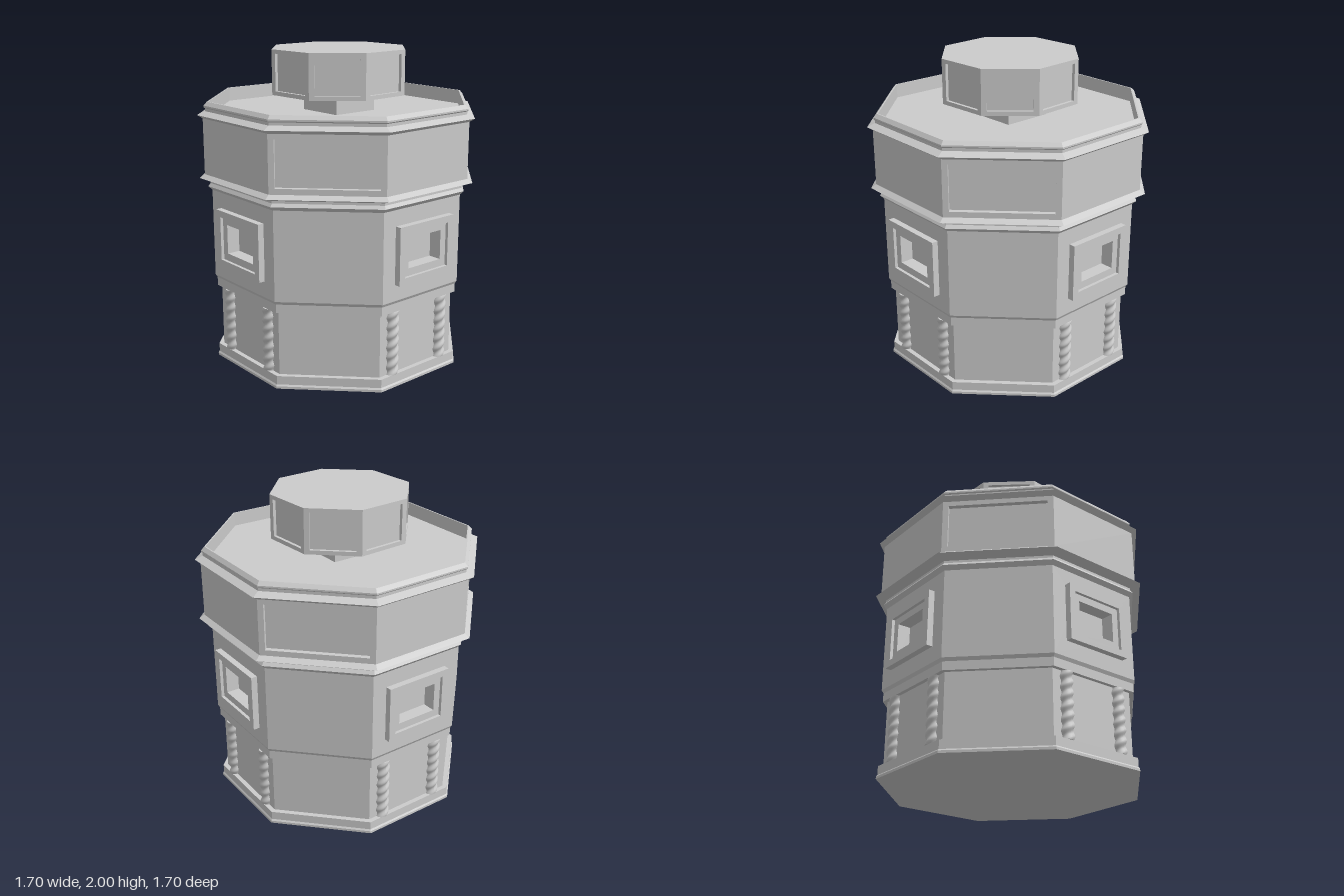
import * as THREE from 'three';

const flat = new THREE.MeshStandardMaterial({ color: 0xcccccc, flatShading: true });
const smooth = new THREE.MeshStandardMaterial({ color: 0xcccccc });
const COS8 = Math.cos(Math.PI / 8), SIN8 = Math.sin(Math.PI / 8);

function add(parent, name, geometry, material = flat) {
  const mesh = new THREE.Mesh(geometry, material);
  mesh.name = name;
  parent.add(mesh);
  return mesh;
}

// Octagonal ring swept from [corner radius, height] points, listed bottom to top
function octagon(parent, name, points) {
  const profile = points.map(([r, y]) => new THREE.Vector2(r, y));
  return add(parent, name, new THREE.LatheGeometry(profile, 8, Math.PI / 8));
}

function rect(path, w, y0, y1) {
  path.moveTo(-w, y0);
  path.lineTo(w, y0);
  path.lineTo(w, y1);
  path.lineTo(-w, y1);
  path.closePath();
  return path;
}

// Rectangular slab, optionally pierced; outer and hole are [half width, bottom, top]
function slab(outer, hole, depth) {
  const shape = rect(new THREE.Shape(), ...outer);
  if (hole) shape.holes.push(rect(new THREE.Path(), ...hole));
  return new THREE.ExtrudeGeometry(shape, { depth, bevelEnabled: false });
}

// Wall slab with a sunken rectangle, its outer surface at z = 0
function recessedWall(parent, name, outer, hole, depth) {
  add(parent, name, slab(outer, hole, depth)).position.z = -depth;
  const [w, y0, y1] = hole;
  add(parent, name + 'Recess', new THREE.PlaneGeometry(2 * w, y1 - y0))
    .position.set(0, (y0 + y1) / 2, -depth);
}

// Runs build(face, index) for the eight sides, each face facing its own +z
function eachSide(parent, name, radius, build) {
  for (let i = 0; i < 8; i++) {
    const turn = new THREE.Group();
    turn.name = name;
    turn.rotation.y = i * Math.PI / 4;
    const face = new THREE.Group();
    face.name = name + 'Face';
    face.position.z = radius * COS8;
    turn.add(face);
    parent.add(turn);
    build(face, i);
  }
}

// Column with a two-start spiral
function twistedColumn() {
  const height = 0.41;
  const g = new THREE.CylinderGeometry(0.045, 0.045, height, 20, 48);
  const p = g.attributes.position;
  for (let i = 0; i < p.count; i++) {
    const x = p.getX(i), y = p.getY(i), z = p.getZ(i);
    const k = 1 + 0.12 * Math.cos(2 * Math.atan2(x, z) - 97 * y);
    p.setXYZ(i, x * k, y, z * k);
  }
  g.computeVertexNormals();
  return g.translate(0, 0.08 + height / 2, 0);
}

export function createModel() {
  const model = new THREE.Group();
  model.name = 'octagonalTower';
  const tower = new THREE.Group();
  tower.name = 'tower';
  tower.rotation.y = -0.011;
  model.add(tower);

  // Plinth, recessed lower storey and the band above it
  octagon(tower, 'plinth', [[0, 0], [0.84, 0], [0.84, 0.015], [0.832, 0.025], [0.832, 0.08], [0, 0.08]]);
  octagon(tower, 'lowerStorey', [[0.8, 0.08], [0.8, 0.49]]);
  octagon(tower, 'lowerBand', [[0.79, 0.49], [0.828, 0.49], [0.828, 0.545], [0.84, 0.565]]);

  // Paired columns on every second side
  const column = twistedColumn();
  eachSide(tower, 'colonnade', 0.8, (face, i) => {
    if (i % 2) return;
    for (const x of [-0.205, 0.205]) add(face, 'column', column, smooth).position.set(x, 0, -0.012);
  });

  // Middle storey: framed windows alternate with plain walls
  const R1 = 0.84, wall1 = [R1 * SIN8, 0.565, 1.13];
  const opening = [0.135, 0.757, 0.943], step = [0.18, 0.71, 0.987];
  eachSide(tower, 'middleStorey', R1, (face, i) => {
    if (i % 2) {
      add(face, 'plainWall', slab(wall1, null, 0.02)).position.z = -0.02;
      return;
    }
    recessedWall(face, 'windowWall', wall1, opening, 0.065);
    add(face, 'windowFrame', slab([0.225, 0.668, 1.03], step, 0.04));
    add(face, 'windowInnerFrame', slab(step, opening, 0.02));
  });

  // Cornice between the storeys
  octagon(tower, 'cornice', [[0.84, 1.13], [0.865, 1.155], [0.85, 1.175], [0.85, 1.19],
    [0.918, 1.212], [0.884, 1.235]]);

  // Upper storey: sunken panels on the diagonal sides
  const R2 = 0.884, wall2 = [R2 * SIN8, 1.235, 1.59];
  eachSide(tower, 'upperStorey', R2, (face, i) => {
    if (i % 2) recessedWall(face, 'panelWall', wall2, [0.303, 1.27, 1.557], 0.03);
    else add(face, 'plainWall', slab(wall2, null, 0.02)).position.z = -0.02;
  });

  // Parapet moulding, its inner wall and the sunken roof floor
  octagon(tower, 'parapet', [[0.884, 1.588], [0.918, 1.61], [0.868, 1.632], [0.868, 1.65],
    [0.876, 1.657], [0.876, 1.667], [0.855, 1.69], [0.846, 1.69], [0.846, 1.6], [0, 1.6]]);

  // Lantern on a square post, with a sunken panel on each side
  const lantern = new THREE.Group();
  lantern.name = 'lantern';
  lantern.rotation.y = 0.047;
  model.add(lantern);
  const post = add(model, 'lanternPost', new THREE.BoxGeometry(0.32, 0.13, 0.32));
  post.position.y = 1.66;
  const R3 = 0.447;
  octagon(lantern, 'lanternBottom', [[0, 1.717], [R3, 1.717]]);
  octagon(lantern, 'lanternTop', [[R3, 2], [0, 2]]);
  eachSide(lantern, 'lanternSide', R3, (face) => {
    recessedWall(face, 'lanternPanel', [R3 * SIN8, 1.717, 2], [0.138, 1.743, 1.975], 0.02);
  });

  return model;
}
